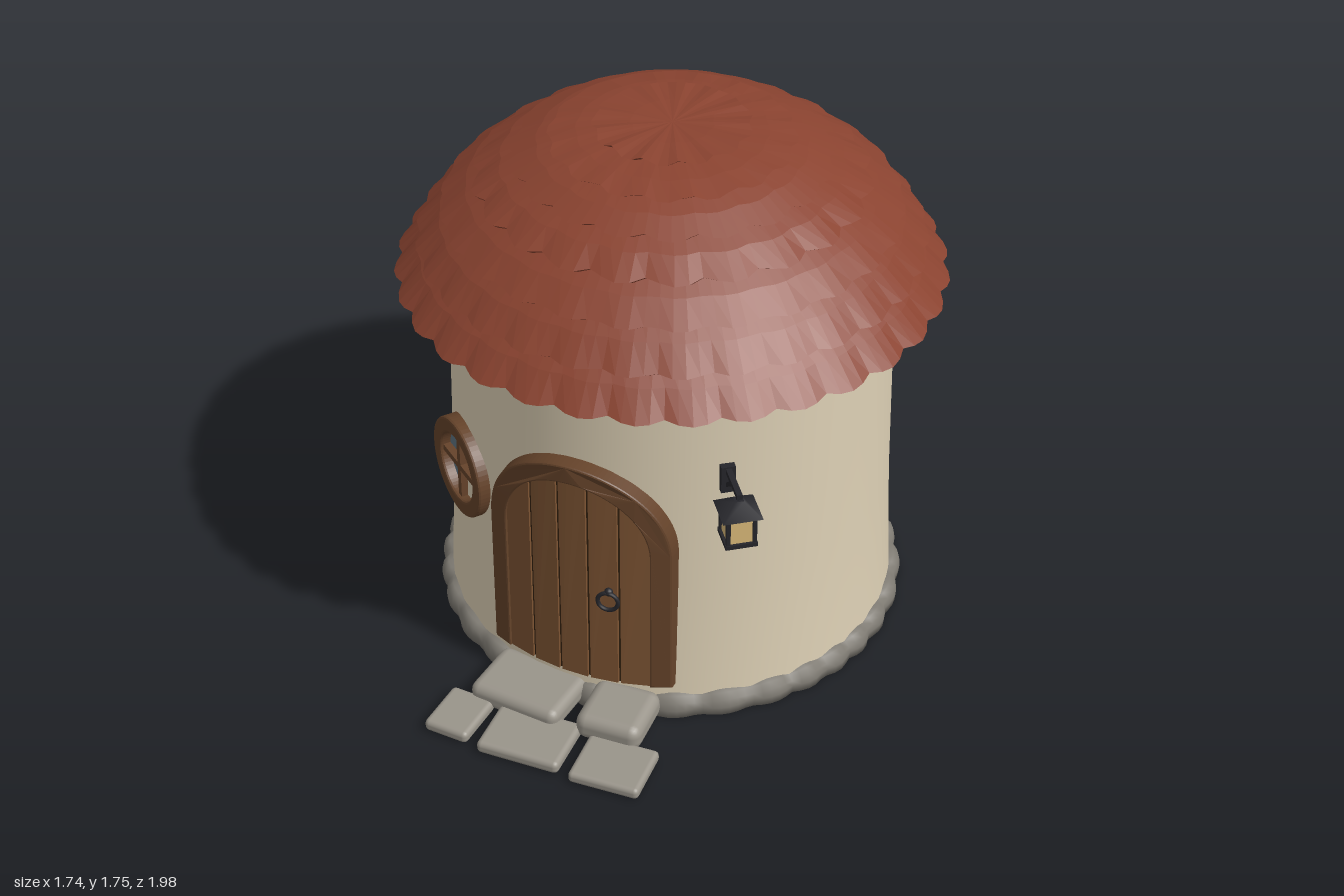
import * as THREE from 'three';
import { RoundedBoxGeometry } from 'three/addons/geometries/RoundedBoxGeometry.js';

const mat = (color, opts = {}) => new THREE.MeshStandardMaterial({ color, ...opts });
const M = {
  wall: mat(0xdccfb4),
  roof: mat(0x8a4330, { flatShading: true, side: THREE.DoubleSide }),
  base: mat(0x7f7b73, { side: THREE.DoubleSide }),
  stone: mat(0x99948a),
  frame: mat(0x65432a),
  plank: mat(0x7d5433),
  gap: mat(0x33210f),
  iron: mat(0x25252a),
  glass: mat(0x5d7380),
  glow: mat(0xd8b878),
};

function add(parent, name, geo, material, pos = [0, 0, 0], rot = [0, 0, 0]) {
  const m = new THREE.Mesh(geo, material);
  m.name = name;
  m.position.set(...pos);
  m.rotation.set(...rot);
  parent.add(m);
  return m;
}
const box = (w, h, d) => new THREE.BoxGeometry(w, h, d);
const v2 = (pts) => pts.map(([x, y]) => new THREE.Vector2(x, y));

// Lathe whose vertices are pushed by rule(angle, point index) -> [dr, dy]
function scalloped(profile, segments, rule) {
  const geo = new THREE.LatheGeometry(v2(profile), segments);
  const p = geo.attributes.position;
  for (let i = 0; i < p.count; i++) {
    const seg = Math.floor(i / profile.length) % segments;
    const a = (seg / segments) * Math.PI * 2;
    const k = i % profile.length;
    const [dr, dy] = rule(a, k);
    const r = profile[k][0] + dr;
    p.setXYZ(i, Math.sin(a) * r, profile[k][1] + dy, Math.cos(a) * r);
  }
  geo.computeVertexNormals();
  return geo;
}

// Wraps a flat extrusion around the round wall
const DOOR_R = 0.73;
function wrap(geo) {
  const p = geo.attributes.position;
  for (let i = 0; i < p.count; i++) {
    const x = p.getX(i);
    p.setZ(i, p.getZ(i) + Math.sqrt(DOOR_R * DOOR_R - x * x));
  }
  geo.computeVertexNormals();
  return geo;
}
function extrude(shape, z0, z1, bevel = 0) {
  return new THREE.ExtrudeGeometry(shape, {
    depth: z1 - z0 - 2 * bevel, curveSegments: 32, bevelEnabled: bevel > 0,
    bevelSize: bevel, bevelOffset: -bevel, bevelThickness: bevel, bevelSegments: 2,
  }).translate(0, 0, z0 + bevel);
}

// Vertical strip of the door between x0 and x1 with its top cut by the arch
const SPRING = 0.64, FOOT = 0.115;
function doorStrip(x0, x1, z1, radius = 0.25) {
  const pts = [[x0, FOOT], [x1, FOOT]];
  for (let i = 0; i <= 6; i++) {
    const x = x1 + ((x0 - x1) * i) / 6;
    pts.push([x, SPRING + Math.sqrt(Math.max(0, radius * radius - x * x))]);
  }
  return wrap(extrude(new THREE.Shape(v2(pts)), -0.05, z1));
}

function buildRoof() {
  const roof = new THREE.Group();
  roof.name = 'roof';
  // rim radius, rim height, inner radius, inner height, tiles, scallop depth
  const tiers = [
    [0.875, 1.24, 0.71, 1.39, 32, 0.022],
    [0.805, 1.36, 0.64, 1.50, 30, 0.022],
    [0.725, 1.472, 0.55, 1.59, 26, 0.022],
    [0.625, 1.563, 0.44, 1.66, 22, 0.035],
    [0.505, 1.64, 0.33, 1.71, 19, 0.025],
    [0.388, 1.702, 0.2, 1.735, 16, 0.025],
    [0.25, 1.742, 0, 1.748, 13, 0.022],
  ];
  tiers.forEach(([r, y, ri, yi, n, amp], t) => {
    const drop = t === 0 ? 0.012 : -0.03;
    const profile = [[r - (t === 0 ? 0.2 : 0.07), y + drop], [r, y],
      [(r + ri) / 2 + 0.005, (y + yi) / 2 + 0.004], [ri, yi]];
    const geo = scalloped(profile, n * 4, (a, k) => {
      const dip = 1 - Math.abs(Math.sin((a * n) / 2 + t));
      const weight = [0, 1, 0.35, 0][k];
      return [-amp * dip * weight, 0.012 * dip * weight];
    });
    add(roof, 'roofTier' + (t + 1), geo, M.roof);
  });
  return roof;
}

function buildDoor() {
  const door = new THREE.Group();
  door.name = 'door';
  // Arched frame
  const s = new THREE.Shape();
  s.moveTo(0.312, FOOT);
  for (let i = 1; i <= 6; i++) s.lineTo(0.312, FOOT + ((SPRING - FOOT) * i) / 6);
  s.absarc(0, SPRING, 0.312, 0, Math.PI, false);
  s.lineTo(-0.312, FOOT);
  s.lineTo(-0.246, FOOT);
  s.lineTo(-0.246, SPRING);
  s.absarc(0, SPRING, 0.246, Math.PI, 0, true);
  s.lineTo(0.246, FOOT);
  add(door, 'doorFrame', wrap(extrude(s, -0.05, 0.034, 0.006)), M.frame);
  // Planks with dark gaps
  const w = 0.1;
  for (let i = 0; i < 5; i++) {
    const c = (i - 2) * w;
    add(door, 'doorPlank', doorStrip(c - w / 2 + 0.005, c + w / 2 - 0.005, 0.024), M.plank);
  }
  for (let i = 0; i < 6; i++) {
    const c = (i - 2.5) * w;
    add(door, 'plankGap', doorStrip(c - 0.006, c + 0.006, 0.014), M.gap);
  }
  // Ring handle
  add(door, 'doorRing', new THREE.TorusGeometry(0.033, 0.007, 8, 28), M.iron, [0.12, 0.458, 0.755], [0, 0.16, 0]);
  add(door, 'ringMount', new THREE.SphereGeometry(0.014, 12, 8), M.iron, [0.12, 0.492, 0.748]);
  return door;
}

function buildWindow() {
  const win = new THREE.Group();
  win.name = 'window';
  const ring = new THREE.Shape().absarc(0, 0, 0.17, 0, Math.PI * 2, false);
  ring.holes.push(new THREE.Path().absarc(0, 0, 0.117, 0, Math.PI * 2, true));
  add(win, 'windowFrame', extrude(ring, -0.035, 0.035, 0.008), M.frame);
  add(win, 'windowPane', new THREE.CylinderGeometry(0.125, 0.125, 0.02, 40), M.glass, [0, 0, -0.012], [Math.PI / 2, 0, 0]);
  add(win, 'windowBar', box(0.022, 0.25, 0.03), M.frame, [0, 0, 0.008]);
  add(win, 'windowBar', box(0.25, 0.022, 0.03), M.frame, [0, 0, 0.008]);
  win.position.set(-0.485, 0.645, 0.53);
  win.rotation.y = -0.65;
  return win;
}

function buildLantern() {
  const lamp = new THREE.Group();
  lamp.name = 'lantern';
  const z = 0.85;
  add(lamp, 'wallPlate', box(0.045, 0.095, 0.025), M.iron, [0, 0.92, 0.72]);
  add(lamp, 'bracketArm', box(0.018, 0.016, 0.15), M.iron, [0, 0.955, 0.79]);
  add(lamp, 'bracketBrace', box(0.014, 0.014, 0.09), M.iron, [0, 0.928, 0.762], [-0.7, 0, 0]);
  add(lamp, 'hanger', new THREE.CylinderGeometry(0.007, 0.007, 0.03, 8), M.iron, [0, 0.945, z]);
  add(lamp, 'lanternRoof', new THREE.CylinderGeometry(0.02, 0.088, 0.042, 4, 1).rotateY(Math.PI / 4).toNonIndexed(), M.iron, [0, 0.917, z]);
  add(lamp, 'lanternGlass', box(0.082, 0.1, 0.082), M.glow, [0, 0.846, z]);
  add(lamp, 'lanternBase', box(0.1, 0.014, 0.1), M.iron, [0, 0.794, z]);
  add(lamp, 'finial', new THREE.CylinderGeometry(0.013, 0.009, 0.022, 10), M.iron, [0, 0.778, z]);
  for (const sx of [-1, 1]) for (const sz of [-1, 1]) {
    add(lamp, 'lanternPost', box(0.013, 0.105, 0.013), M.iron, [sx * 0.041, 0.848, z + sz * 0.041]);
  }
  lamp.rotation.y = 0.655;
  return lamp;
}

function buildSteps() {
  const steps = new THREE.Group();
  steps.name = 'steps';
  // x, z, width, depth, bottom, top, turn
  const stones = [
    [-0.295, 0.87, 0.155, 0.19, 0, 0.043, -0.05],
    [-0.045, 0.875, 0.28, 0.21, 0, 0.045, 0.04],
    [0.25, 0.88, 0.235, 0.2, 0, 0.04, 0.06],
    [-0.135, 0.69, 0.32, 0.23, 0.005, 0.085, -0.08],
    [0.178, 0.69, 0.22, 0.22, 0.005, 0.098, 0.05],
  ];
  for (const [x, z, w, d, y0, y1, turn] of stones) {
    add(steps, 'stepStone', new RoundedBoxGeometry(w, y1 - y0, d, 3, (y1 - y0) * 0.4), M.stone, [x, (y0 + y1) / 2, z], [0, turn, 0]);
  }
  return steps;
}

export function createModel() {
  const model = new THREE.Group();
  model.name = 'roundCottage';
  const house = new THREE.Group();
  house.name = 'house';
  house.position.z = -0.12;
  model.add(house);

  // Tapered wall with a closed floor
  const wall = [[0.742, 0.005], [0.738, 0.08], [0.729, 0.25], [0.72, 0.5], [0.714, 0.8], [0.709, 1.05], [0.706, 1.27]];
  add(house, 'wall', new THREE.LatheGeometry(v2(wall), 64), M.wall);
  add(house, 'floor', new THREE.CircleGeometry(0.742, 64), M.wall, [0, 0.005, 0], [Math.PI / 2, 0, 0]);

  // Lumpy stone footing
  const footing = [[0.715, 0], [0.775, 0], [0.778, 0.03], [0.772, 0.058], [0.755, 0.075], [0.72, 0.078]];
  add(house, 'footing', scalloped(footing, 34 * 5, (a, k) => {
    const dip = 1 - Math.abs(Math.sin(a * 17 + 0.6 * Math.sin(a * 5)));
    return [k === 0 || k === 5 ? 0 : -0.016 * dip, k > 2 ? -0.014 * dip : 0];
  }), M.base);

  house.add(buildRoof(), buildDoor(), buildWindow(), buildLantern());
  model.add(buildSteps());
  return model;
}
